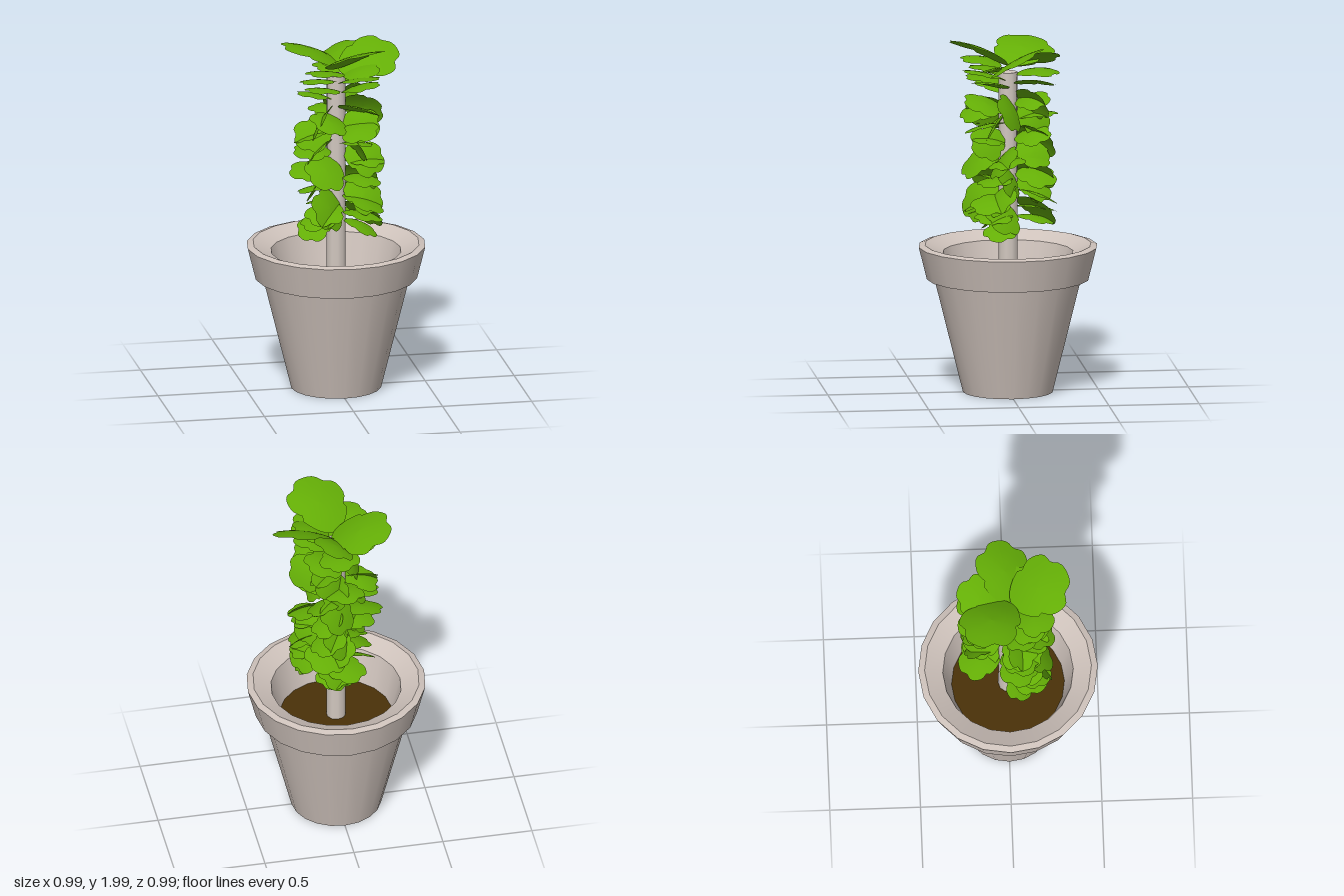
import * as THREE from 'three';

const mat = (name, color, side = THREE.FrontSide) => {
  const m = new THREE.MeshStandardMaterial({ color, side });
  m.name = name;
  return m;
};

// Unit leaf: stalk end at the origin, growing along +x, upper face towards +y
function leafGeometry() {
  const g = new THREE.RingGeometry(0, 1, 48, 3);
  g.rotateX(-Math.PI / 2);
  const p = g.attributes.position;
  for (let i = 0; i < p.count; i++) {
    const r = Math.hypot(p.getX(i), p.getZ(i));
    const a = Math.atan2(p.getZ(i), p.getX(i));
    // scalloped outer end, smooth and narrower towards the stalk
    const notch = Math.abs(a) < 1.9 ? Math.pow(Math.abs(Math.cos(2.5 * (a + 0.63))), 6) : 0;
    const k = 0.5 * r * (1 - 0.15 * notch * r);
    const x = 0.5 + k * Math.cos(a);
    const z = k * Math.sin(a) * (0.72 + 0.4 * x);
    // gentle arch along the length and slight cupping across
    p.setXYZ(i, x, 0.35 * x * (1 - x) - 0.25 * z * z, z);
  }
  g.computeVertexNormals();
  return g;
}

export function createModel() {
  const model = new THREE.Group();
  model.name = 'pottedPlant';
  const clay = mat('clay', 0xcfc3bc);
  const bark = mat('bark', 0xd2c8c0);
  const earth = mat('earth', 0x4a3208);
  const green = mat('leafGreen', 0x64ae06, THREE.DoubleSide);

  const add = (name, geo, material, parent = model) => {
    const mesh = new THREE.Mesh(geo, material);
    mesh.name = name;
    parent.add(mesh);
    return mesh;
  };

  // Pot: one lathe band per profile segment keeps the rims sharp
  const pot = new THREE.Group();
  pot.name = 'pot';
  model.add(pot);
  const profile = [
    [0, 0], [0.25, 0], [0.408, 0.635], [0.45, 0.635],
    [0.495, 0.815], [0.46, 0.825], [0.36, 0.78], [0.31, 0.585],
  ].map(([x, y]) => new THREE.Vector2(x, y));
  const names = ['base', 'outerWall', 'rimUnderside', 'rimBand', 'rimBevel', 'rimTop', 'innerWall'];
  names.forEach((name, i) =>
    add(name, new THREE.LatheGeometry([profile[i], profile[i + 1]], 20), clay, pot));

  // Soil
  const soil = add('soil', new THREE.CircleGeometry(0.312, 20), earth);
  soil.rotation.x = -Math.PI / 2;
  soil.position.y = 0.59;

  // Stem
  const stem = add('stem', new THREE.CylinderGeometry(0.052, 0.054, 1.2, 10), bark);
  stem.position.y = 1.19;

  // Leaves
  const leaf = leafGeometry();
  const leaves = new THREE.Group();
  leaves.name = 'leaves';
  model.add(leaves);
  const rad = THREE.MathUtils.degToRad;
  // azimuth is measured from +x towards +z
  const addLeaf = (name, azimuth, y, size, pitch, roll, start) => {
    const m = add(name, leaf, green, leaves);
    const a = rad(azimuth);
    m.position.set(start * Math.cos(a), y, start * Math.sin(a));
    m.rotation.set(rad(roll), -a, rad(pitch), 'YZX');
    m.scale.setScalar(size);
  };

  let seed = 11;
  const rand = (lo, hi) => {
    seed = (seed * 16807) % 2147483647;
    return lo + (hi - lo) * (seed / 2147483647);
  };

  // Three columns of small leaves up the stem, alternate ones hanging and twisted
  const rows = 18;
  [33, 140, -77].forEach((azimuth, c) => {
    for (let i = 0; i < rows; i++) {
      const t = i / (rows - 1);
      const y = 0.96 + 0.84 * t + c * 0.012;
      const hanging = (i + c) % 2 === 0 && t > 0.1 && t < 0.85;
      const twist = i % 4 < 2 ? 1 : -1;
      const pitch = (hanging ? -30 : -16 + 26 * t) + rand(-9, 9);
      const roll = hanging ? twist * rand(30, 60) : rand(-25, 25);
      addLeaf('sideLeaf', azimuth + rand(-26, 26), y, rand(0.2, 0.26), pitch, roll, 0.045);
    }
  });

  // Large crown leaves, rising outwards
  addLeaf('crownLeaf', 70, 1.83, 0.37, 26, 4, 0.02);
  addLeaf('crownLeaf', -8, 1.81, 0.35, 16, 26, 0.02);
  addLeaf('crownLeaf', 217, 1.83, 0.36, 16, 12, -0.02);

  return model;
}
